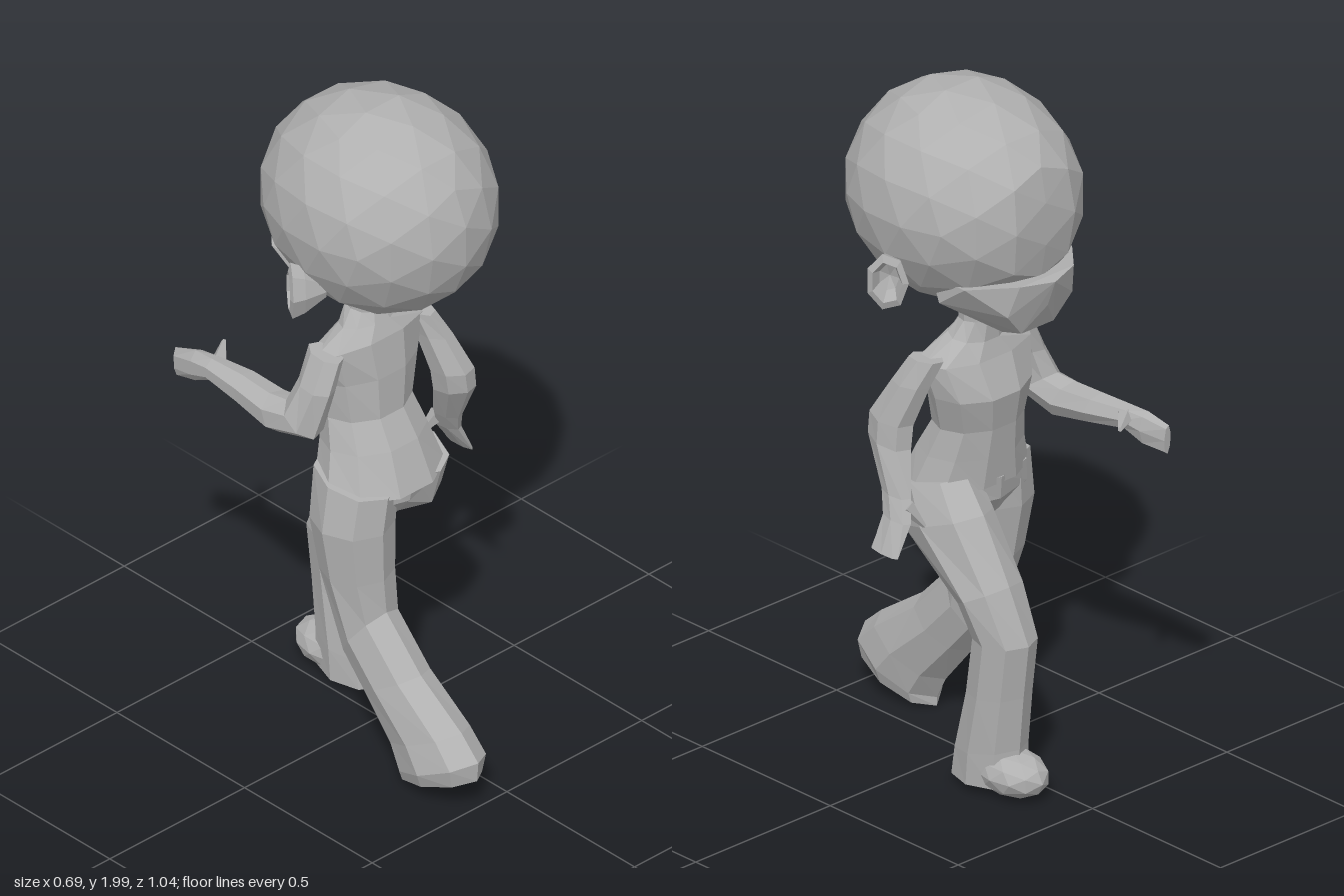
import * as THREE from 'three';
import { ConvexGeometry } from 'three/addons/geometries/ConvexGeometry.js';

const clay = new THREE.MeshStandardMaterial({ color: 0xb0b0b0, flatShading: true });
clay.name = 'clay grey';

function add(group, name, geometry) {
  const mesh = new THREE.Mesh(geometry, clay);
  mesh.name = name;
  group.add(mesh);
  return mesh;
}

// Skin elliptical sections [x, halfWidth, frontY, frontZ, backY, backZ], listed along the limb
function loft(sections, sides = 8) {
  const rings = sections.map(([x, rx, yf, zf, yb, zb]) => {
    const ring = [];
    for (let j = 0; j < sides; j++) {
      const a = (j / sides) * Math.PI * 2, s = Math.sin(a) / 2;
      ring.push([x + rx * Math.cos(a), (yf + yb) / 2 + (yb - yf) * s, (zf + zb) / 2 + (zb - zf) * s]);
    }
    return ring;
  });
  const middle = ([x, , yf, zf, yb, zb]) => [x, (yf + yb) / 2, (zf + zb) / 2];
  const start = middle(sections[0]), end = middle(sections[sections.length - 1]);
  const last = rings[rings.length - 1], out = [];
  for (let j = 0; j < sides; j++) {
    const k = (j + 1) % sides;
    out.push(...start, ...rings[0][k], ...rings[0][j]);
    for (let i = 0; i < rings.length - 1; i++) {
      const a = rings[i][j], b = rings[i][k], c = rings[i + 1][j], d = rings[i + 1][k];
      out.push(...a, ...b, ...c, ...b, ...d, ...c);
    }
    out.push(...end, ...last[j], ...last[k]);
  }
  const g = new THREE.BufferGeometry();
  g.setAttribute('position', new THREE.Float32BufferAttribute(out, 3));
  g.computeVertexNormals();
  return g;
}

// Faceted spike from one point to another
function spike(from, to, radius) {
  const a = new THREE.Vector3(...from), b = new THREE.Vector3(...to), d = b.clone().sub(a);
  const g = new THREE.CylinderGeometry(radius * 0.25, radius, d.length(), 5);
  g.applyQuaternion(new THREE.Quaternion().setFromUnitVectors(new THREE.Vector3(0, 1, 0), d.normalize()));
  g.translate(...a.add(b).multiplyScalar(0.5).toArray());
  return g;
}

export function createModel() {
  const model = new THREE.Group();
  model.name = 'walkingFigure';

  // Round head, with the face side (-z) slightly fuller and flat
  const skull = new THREE.IcosahedronGeometry(1, 2);
  const p = skull.attributes.position;
  for (let i = 0; i < p.count; i++) {
    const z = p.getZ(i);
    const pz = z < 0 ? Math.max(z * 0.365, -0.33) : z * 0.335;
    p.setXYZ(i, p.getX(i) * 0.305, 1.69 + p.getY(i) * 0.312, 0.012 + pz);
  }
  skull.computeVertexNormals();
  add(model, 'head', skull);

  // Jaw and snub nose jutting under the brow
  const jaw = [[0, 1.53, -0.355], [0, 1.45, -0.325]];
  for (const s of [-1, 1]) {
    jaw.push([s * 0.1, 1.535, -0.322], [s * 0.2, 1.52, -0.21], [s * 0.12, 1.44, -0.295],
      [s * 0.06, 1.37, -0.285], [s * 0.05, 1.342, -0.2], [s * 0.19, 1.44, -0.1],
      [s * 0.09, 1.375, -0.04], [s * 0.17, 1.5, -0.05]);
  }
  add(model, 'jaw', new ConvexGeometry(jaw.map((v) => new THREE.Vector3(...v))));

  // Cupped ears opening outward and toward the face
  const cup = [[0.025, -0.06], [0.07, 0], [0.085, 0.035], [0.062, 0.042], [0.04, 0.005], [0, -0.01]]
    .map(([r, y]) => new THREE.Vector2(r, y));
  for (const s of [-1, 1]) {
    const ear = new THREE.LatheGeometry(cup, 7);
    ear.scale(1, 1, 0.7);
    const up = new THREE.Vector3(0, 1, 0), axis = new THREE.Vector3(0.8 * s, 0, -0.6);
    ear.applyMatrix4(new THREE.Matrix4().makeBasis(up, axis, up.clone().cross(axis)));
    ear.translate(0.28 * s, 1.515, 0);
    add(model, s > 0 ? 'leftEar' : 'rightEar', ear);
  }

  // Neck, chest and shirt, then the hips below the hem
  add(model, 'torso', loft([
    [0, 0.055, 1.42, -0.11, 1.42, 0],
    [0, 0.055, 1.33, -0.11, 1.32, 0],
    [0, 0.09, 1.27, -0.11, 1.29, 0.015],
    [0, 0.195, 1.22, -0.125, 1.25, 0.035],
    [0, 0.165, 1.12, -0.17, 1.14, 0.055],
    [-0.01, 0.14, 1.02, -0.15, 1.02, 0.065],
    [-0.01, 0.16, 0.93, -0.14, 0.94, 0.115],
    [-0.015, 0.195, 0.84, -0.13, 0.82, 0.17],
  ], 10));
  add(model, 'hips', loft([
    [-0.015, 0.185, 0.86, -0.13, 0.84, 0.15],
    [-0.02, 0.19, 0.79, -0.12, 0.78, 0.14],
    [-0.03, 0.1, 0.73, -0.08, 0.73, 0.1],
  ]));

  // Leading leg, bent at the knee, and its shoe
  add(model, 'frontLeg', loft([
    [0.085, 0.095, 0.88, -0.1, 0.83, 0.15],
    [0.1, 0.105, 0.8, -0.18, 0.7, 0.1],
    [0.1, 0.1, 0.62, -0.28, 0.54, -0.13],
    [0.09, 0.085, 0.46, -0.345, 0.45, -0.16],
    [0.09, 0.085, 0.3, -0.325, 0.28, -0.135],
    [0.09, 0.09, 0.14, -0.31, 0.1, -0.09],
    [0.09, 0.09, 0.03, -0.31, 0.02, -0.075],
  ]));
  const shoe = new THREE.IcosahedronGeometry(1, 1);
  shoe.scale(0.085, 0.065, 0.12);
  shoe.translate(0.09, 0.066, -0.28);
  add(model, 'frontShoe', shoe);

  // Trailing leg, swept back with the heel raised
  add(model, 'backLeg', loft([
    [-0.11, 0.105, 0.88, -0.1, 0.83, 0.15],
    [-0.128, 0.113, 0.72, -0.09, 0.72, 0.15],
    [-0.125, 0.1, 0.56, -0.06, 0.57, 0.15],
    [-0.12, 0.085, 0.3, 0.03, 0.47, 0.155],
    [-0.12, 0.085, 0.22, 0.1, 0.33, 0.29],
    [-0.12, 0.09, 0.1, 0.2, 0.22, 0.45],
    [-0.125, 0.095, 0.03, 0.24, 0.16, 0.52],
    [-0.125, 0.08, 0.004, 0.24, 0.1, 0.515],
  ]));

  // Arm hanging at the side, with a flat hand
  add(model, 'leftArm', loft([
    [0.17, 0.035, 1.25, -0.09, 1.24, 0.03],
    [0.195, 0.045, 1.17, -0.06, 1.17, 0.065],
    [0.22, 0.055, 1.05, -0.02, 1.07, 0.12],
    [0.228, 0.052, 0.98, -0.02, 1.01, 0.12],
    [0.262, 0.03, 0.86, -0.06, 0.87, 0.04],
    [0.285, 0.024, 0.8, -0.085, 0.81, 0.015],
    [0.335, 0.012, 0.715, -0.09, 0.72, 0.015],
  ], 7));
  add(model, 'leftThumb', spike([0.265, 0.84, -0.05], [0.225, 0.775, -0.08], 0.024));

  // Arm bent forward at the elbow
  add(model, 'rightArm', loft([
    [-0.17, 0.035, 1.25, -0.09, 1.24, 0.03],
    [-0.205, 0.042, 1.16, -0.09, 1.15, 0.03],
    [-0.23, 0.055, 1.09, -0.11, 1.01, 0],
    [-0.235, 0.06, 1.085, -0.17, 0.975, -0.13],
    [-0.235, 0.052, 1.09, -0.28, 1.0, -0.26],
    [-0.245, 0.035, 1.09, -0.39, 1.02, -0.39],
    [-0.25, 0.028, 1.09, -0.45, 0.99, -0.45],
    [-0.262, 0.012, 1.07, -0.52, 0.98, -0.515],
  ], 7));
  add(model, 'rightThumb', spike([-0.24, 1.06, -0.38], [-0.15, 1.07, -0.45], 0.028));

  return model;
}
